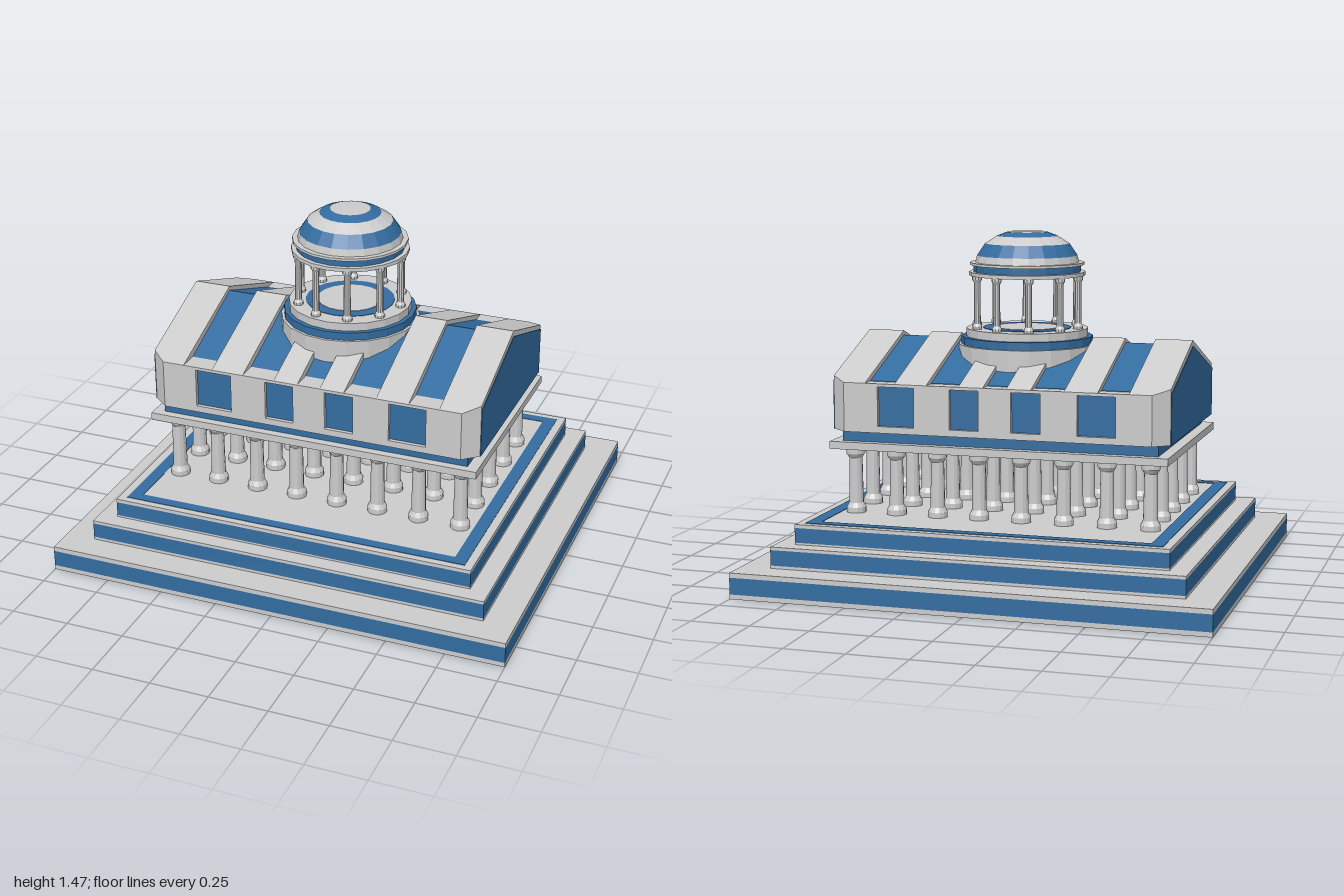
import * as THREE from 'three';

const grey = new THREE.MeshStandardMaterial({ color: 0xcccccc, flatShading: true });
const blue = new THREE.MeshStandardMaterial({ color: 0x336ca0, flatShading: true });

export function createModel() {
  const model = new THREE.Group();

  const add = (name, geo, mat, x = 0, y = 0, z = 0) => {
    const m = new THREE.Mesh(geo, mat);
    m.name = name;
    m.position.set(x, y, z);
    model.add(m);
    return m;
  };
  // Box given by half width, half depth and its bottom and top heights
  const slab = (name, hx, hz, y0, y1, mat) =>
    add(name, new THREE.BoxGeometry(hx * 2, y1 - y0, hz * 2), mat, 0, (y0 + y1) / 2, 0);
  const disc = (name, r0, r1, y0, y1, mat) =>
    add(name, new THREE.CylinderGeometry(r1, r0, y1 - y0, 20), mat, 0, (y0 + y1) / 2, 0);
  const lathe = (pts, n) => new THREE.LatheGeometry(pts.map(p => new THREE.Vector2(...p)), n);
  const shapeOf = pts => new THREE.Shape(pts.map(p => new THREE.Vector2(...p)));
  // Floor-plan outline raised from y0 to y1
  const plan = (name, shape, y0, y1, mat) => {
    const g = new THREE.ExtrudeGeometry(shape, { depth: y1 - y0, bevelEnabled: false });
    return add(name, g.rotateX(-Math.PI / 2), mat, 0, y0, 0);
  };

  // Stepped base with coloured bands
  [[1, 0.9, 0, 0.02, 0.09, 0.11], [0.87, 0.78, 0.11, 0.122, 0.187, 0.2],
    [0.79, 0.71, 0.2, 0.208, 0.27, 0.285]].forEach(([hx, hz, a, b, c, d]) => {
    slab('stepFoot', hx, hz, a, b, grey);
    slab('stepBand', hx, hz, b, c, blue);
    slab('stepTread', hx, hz, c, d, grey);
  });
  const border = shapeOf([[-0.755, -0.68], [0.755, -0.68], [0.755, 0.68], [-0.755, 0.68]]);
  border.holes.push(new THREE.Path(
    [[-0.7, -0.635], [-0.7, 0.635], [0.7, 0.635], [0.7, -0.635]].map(p => new THREE.Vector2(...p))));
  plan('floorBorder', border, 0.284, 0.287, blue);

  // Colonnade
  const columnGeo = lathe([[0, 0], [0.042, 0], [0.042, 0.022], [0.031, 0.042], [0.028, 0.235],
    [0.04, 0.253], [0.04, 0.28], [0, 0.28]], 12);
  for (let i = 0; i < 8; i++)
    for (let j = 0; j < 5; j++)
      add('column', columnGeo, grey, -0.64 + i * 0.183, 0.285, -0.394 + j * 0.197);

  // Entablature
  slab('lowerBeam', 0.727, 0.475, 0.565, 0.597, grey);
  slab('beamBand', 0.68, 0.44, 0.597, 0.642, blue);

  // Upper storey: plan with cut corners, and window recesses on both long walls
  const X = 0.725, XC = 0.66, Z = 0.475, ZC = 0.42, recess = 0.025;
  const windows = [[-0.51, -0.35], [-0.195, -0.07], [0.07, 0.195], [0.35, 0.51]];
  const outline = notched => {
    const side = [[-X, -ZC], [-XC, -Z]];
    if (notched) windows.forEach(([a, b]) =>
      side.push([a, -Z], [a, -Z + recess], [b, -Z + recess], [b, -Z]));
    side.push([XC, -Z], [X, -ZC]);
    return shapeOf([...side, ...side.map(([x, z]) => [-x, -z])]);
  };
  plan('wallSill', outline(false), 0.642, 0.67, grey);
  plan('wall', outline(true), 0.67, 0.837, grey);
  plan('eave', outline(false), 0.837, 0.85, grey);
  for (const s of [-1, 1])
    windows.forEach(([a, b]) => add('window', new THREE.BoxGeometry(b - a, 0.167, 0.01),
      blue, (a + b) / 2, 0.7535, s * (Z - recess + 0.003)));

  // Gabled pieces run along x from x0 to x1
  const gable = (name, pts, x0, x1, mat) => {
    const g = new THREE.ExtrudeGeometry(shapeOf(pts), { depth: x1 - x0, bevelEnabled: false });
    return add(name, g.rotateY(Math.PI / 2), mat, x0, 0, 0);
  };
  const ribProfile = [[-Z, 0.85], [Z, 0.85], [0, 1.02]];
  gable('roof', [[-0.41, 0.84], [0.41, 0.84], [0.41, 0.852], [0, 1]], -0.7, 0.7, blue);
  const endPoints = [[-ZC, 0.642], [ZC, 0.642], [ZC, 0.85], [0, 0.995], [-ZC, 0.85]];
  for (const s of [-1, 1]) {
    for (const [a, b] of [[0.05, 0.155], [0.295, 0.435], [0.565, XC]])
      gable('roofRib', ribProfile, s > 0 ? a : -b, s > 0 ? b : -a, grey);
    // End rib: its eave corners are pulled in to follow the cut corners
    const yCut = 0.85 + (Z - ZC) * 0.17 / Z;
    const end = gable('roofEnd', [[-ZC, 0.85], [ZC, 0.85], [ZC, yCut], [0, 1.02], [-ZC, yCut]],
      s > 0 ? XC : -X, s > 0 ? X : -XC, grey);
    const p = end.geometry.attributes.position;
    for (let i = 0; i < p.count; i++) {
      const inner = s > 0 ? p.getX(i) < 0.03 : p.getX(i) > 0.03;
      if (inner && Math.abs(p.getZ(i)) > 0.1) {
        p.setZ(i, Math.sign(p.getZ(i)) * Z);
        p.setY(i, 0.85);
      }
    }
    end.geometry.computeVertexNormals();
    gable('gablePanel', endPoints, s * X - 0.003, s * X + 0.003, blue);
  }

  // Rotunda drum and floor
  disc('drum', 0.295, 0.295, 0.85, 0.985, grey);
  disc('drumBand', 0.283, 0.283, 0.985, 1.018, blue);
  disc('drumTop', 0.262, 0.262, 1.018, 1.052, grey);
  disc('floorRing', 0.19, 0.19, 1.052, 1.054, blue);
  disc('floorCentre', 0.14, 0.14, 1.052, 1.056, grey);

  // Rotunda columns
  const smallGeo = lathe([[0, 0], [0.021, 0], [0.021, 0.012], [0.015, 0.024], [0.014, 0.2],
    [0.021, 0.212], [0.021, 0.226], [0, 0.226]], 10);
  for (let i = 0; i < 10; i++) {
    const a = i * Math.PI / 5;
    add('rotundaColumn', smallGeo, grey, 0.226 * Math.cos(a), 1.052, 0.226 * Math.sin(a));
  }

  // Cornice and banded dome
  disc('cornice', 0.25, 0.25, 1.277, 1.293, grey);
  disc('corniceBand', 0.23, 0.23, 1.293, 1.322, blue);
  disc('corniceTop', 0.245, 0.245, 1.322, 1.333, grey);
  const dome = [[0.222, 1.333], [0.215, 1.362], [0.18, 1.413], [0.13, 1.445], [0.085, 1.462], [0, 1.465]];
  for (let i = 0; i < 5; i++)
    add('domeBand', lathe([dome[i], dome[i + 1]], 20), i % 2 ? blue : grey);

  return model;
}
